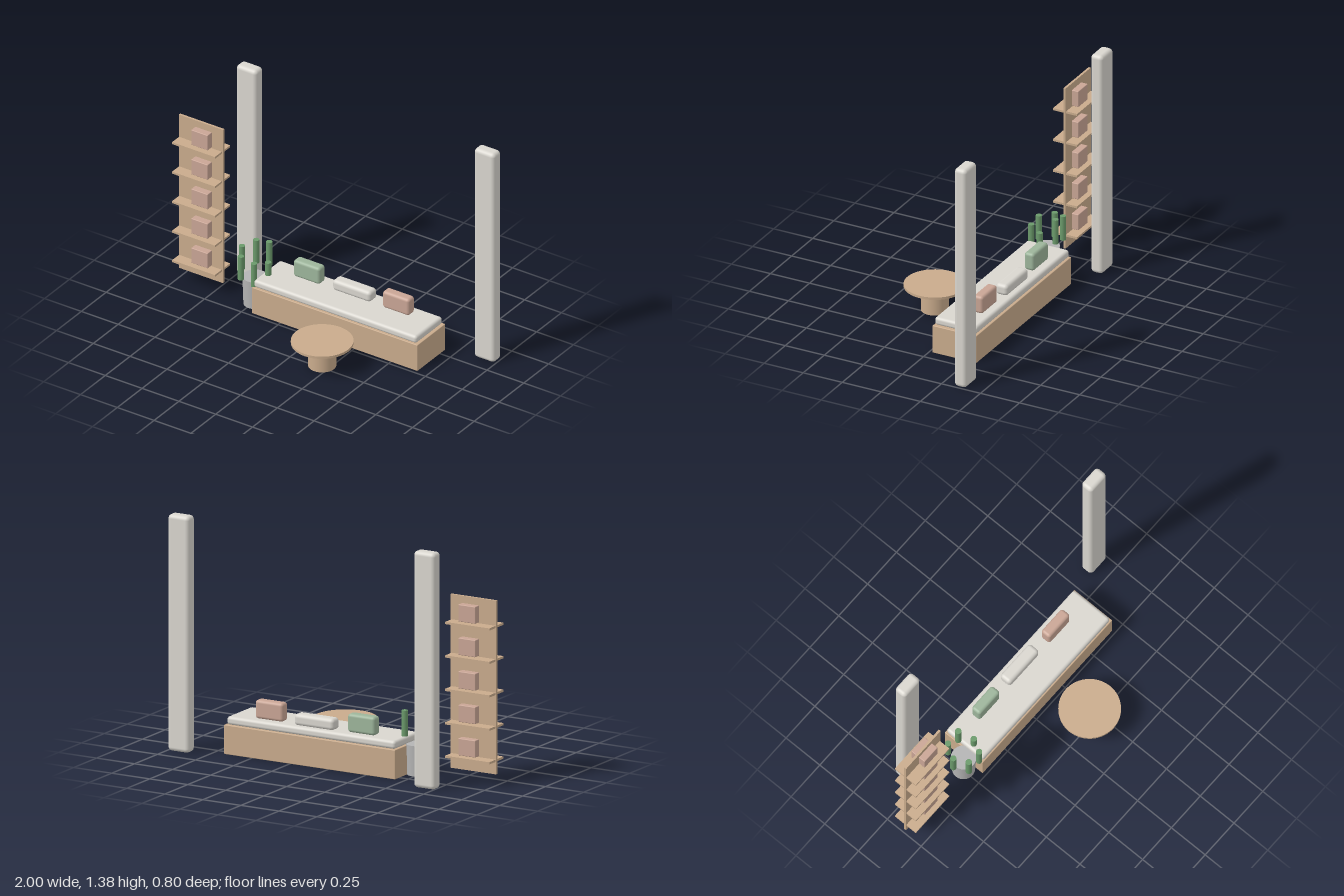
import * as THREE from 'three';
import { RoundedBoxGeometry } from 'three/addons/geometries/RoundedBoxGeometry.js';

const paint = (color) => new THREE.MeshStandardMaterial({ color });
const wood = paint(0xc9ab8c);
const linen = paint(0xd9d6cf);
const sage = paint(0x9db59b);
const clay = paint(0xc9a595);
const stone = paint(0xb4b4b4);
const leaf = paint(0x6b9a6b);

function add(parent, name, geometry, material, x, y, z) {
  const mesh = new THREE.Mesh(geometry, material);
  mesh.name = name;
  mesh.position.set(x, y, z);
  parent.add(mesh);
  return mesh;
}

// Boxes are placed by the middle of their underside; r > 0 rounds the edges
function box(parent, name, material, [w, h, d], [x, y, z], r = 0) {
  const geometry = r ? new RoundedBoxGeometry(w, h, d, 4, r) : new THREE.BoxGeometry(w, h, d);
  return add(parent, name, geometry, material, x, y + h / 2, z);
}

function cylinder(parent, name, material, rTop, rBottom, h, [x, y, z], sides = 48) {
  return add(parent, name, new THREE.CylinderGeometry(rTop, rBottom, h, sides), material, x, y + h / 2, z);
}

function group(parent, name) {
  const g = new THREE.Group();
  g.name = name;
  parent.add(g);
  return g;
}

export function createModel() {
  const model = new THREE.Group();
  model.name = 'loungeCorner';

  // Two tall rounded pillars behind the bench
  box(model, 'rightPillar', linen, [0.14, 1.375, 0.078], [-0.69, 0, -0.364], 0.024);
  box(model, 'leftPillar', linen, [0.14, 1.375, 0.078], [0.926, 0, -0.364], 0.024);

  // Display unit: a panel with shelves passing through it
  const shelving = group(model, 'displayShelves');
  box(shelving, 'panel', wood, [0.3, 1.01, 0.014], [-0.85, 0.065, -0.118]);
  for (let i = 0; i < 5; i++) {
    const y = 0.138 + i * 0.1945;
    box(shelving, 'shelf', wood, [0.29, 0.013, 0.155], [-0.853, y, -0.118]);
    box(shelving, 'displayBlock', clay, [0.113, 0.099, 0.098], [-0.832, y + 0.018, -0.118], 0.004);
  }

  // Bench with seat pad and three cushions
  const bench = group(model, 'bench');
  box(bench, 'benchBase', wood, [1.125, 0.171, 0.282], [0.12, 0, -0.161], 0.004);
  box(bench, 'seatPad', linen, [1.107, 0.048, 0.27], [0.117, 0.171, -0.16], 0.018);
  box(bench, 'greenCushion', sage, [0.18, 0.108, 0.064], [-0.185, 0.218, -0.217], 0.018);
  box(bench, 'bolster', linen, [0.26, 0.068, 0.077], [0.118, 0.215, -0.225], 0.022);
  box(bench, 'pinkCushion', clay, [0.182, 0.108, 0.064], [0.421, 0.218, -0.217], 0.018);

  // Round pedestal table
  const table = group(model, 'table');
  cylinder(table, 'tableLeg', wood, 0.08, 0.08, 0.149, [0.2, 0, 0.224]);
  cylinder(table, 'tableTop', wood, 0.177, 0.177, 0.015, [0.2, 0.148, 0.224], 64);

  // Planter ringed by six stems of rising height
  const plant = group(model, 'plant');
  cylinder(plant, 'planter', stone, 0.072, 0.066, 0.178, [-0.489, 0, -0.122]);
  for (let i = 0; i < 6; i++) {
    const a = (i * Math.PI) / 3;
    const x = -0.489 + 0.089 * Math.cos(a);
    const z = -0.122 + 0.089 * Math.sin(a);
    cylinder(plant, 'stem', leaf, 0.018, 0.018, 0.15, [x, 0.15 + 0.0165 * i, z], 20);
  }
  return model;
}
